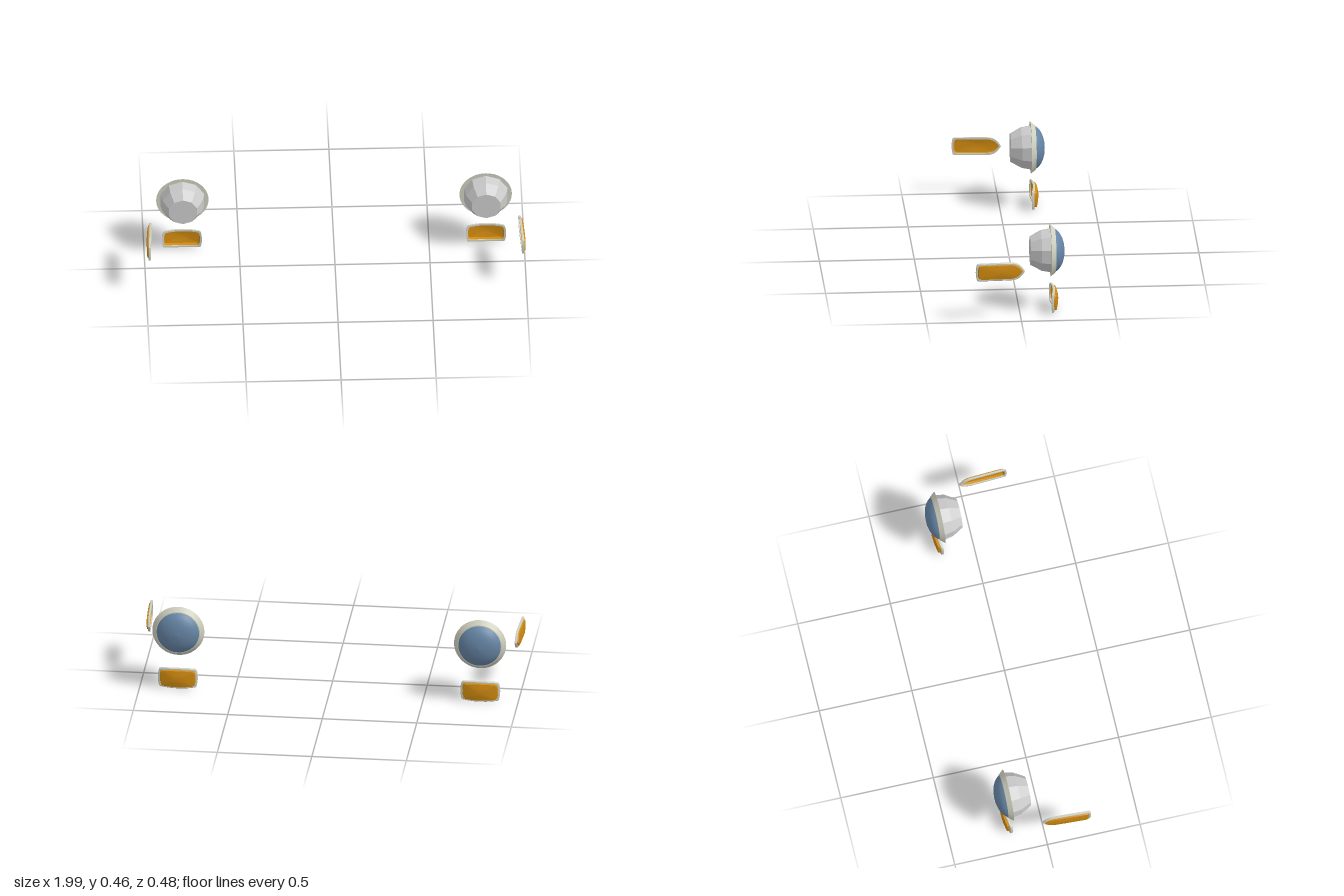
import * as THREE from 'three';
import { toCreasedNormals } from 'three/addons/utils/BufferGeometryUtils.js';

const material = (color, extra = {}) => new THREE.MeshStandardMaterial({ color, ...extra });
const grey = material(0xcccccc, { flatShading: true });
const cream = material(0xcfcfbf, { side: THREE.DoubleSide });
const amber = material(0xd08a10, { side: THREE.DoubleSide });
const blue = material(0x6685a5, { side: THREE.DoubleSide });

function mesh(name, geometry, mat) {
  const m = new THREE.Mesh(geometry, mat);
  m.name = name;
  return m;
}

// Skin through scaled copies of an outline; sections are [scaleX, scaleY, z]
function loft(outline, sections, bow, crease) {
  const pos = [];
  const point = (i, [sx, sy, z]) => {
    const [x, y] = outline[i % outline.length];
    return [x * sx, y * sy, z + bow(x * sx)];
  };
  for (let k = 0; k < sections.length - 1; k++) {
    const low = sections[k], high = sections[k + 1];
    for (let i = 0; i < outline.length; i++) {
      const a = point(i, low), b = point(i + 1, low);
      const c = point(i + 1, high), d = point(i, high);
      pos.push(...a, ...b, ...c);
      if (high[0] > 0) pos.push(...a, ...c, ...d);
    }
  }
  const g = new THREE.BufferGeometry();
  g.setAttribute('position', new THREE.Float32BufferAttribute(pos, 3));
  return toCreasedNormals(g, crease);
}

// Framed lens lying in xy and facing +z
function framedLamp(name, outline, halfX, halfY, lensHeight, bow) {
  const lamp = new THREE.Group();
  lamp.name = name;
  const inset = (d, z) => [1 - d / halfX, 1 - d / halfY, z];
  const frame = [inset(0, 0), inset(0, 0.009), inset(0.003, 0.012),
    inset(0.010, 0.012), inset(0.010, 0), inset(0, 0)];
  const [sx, sy] = inset(0.010, 0);
  const lens = [[1, 0.006], [0.96, lensHeight * 0.75], [0.5, lensHeight * 0.9], [0, lensHeight]]
    .map(([s, z]) => [sx * s, sy * s, z]);
  lamp.add(
    mesh('lampFrame', loft(outline, frame, bow, 0.6), cream),
    mesh('amberLens', loft(outline, lens, bow, 0.5), amber)
  );
  return lamp;
}

// Complete an upper half outline (running from +x to -x) below the x axis
const mirrorY = half => [...half, ...half.slice(1, -1).reverse().map(([x, y]) => [x, -y])];

// Round body turned about z, growing toward -z
function turned(name, profile, sides, mat, crease) {
  const g = new THREE.LatheGeometry(profile.map(p => new THREE.Vector2(...p)), sides);
  g.rotateX(-Math.PI / 2);
  return mesh(name, crease ? toCreasedNormals(g, crease) : g, mat);
}

function headlamp() {
  const lamp = new THREE.Group();
  lamp.name = 'headlamp';
  lamp.add(
    turned('bucket', [[0, 0], [0.078, 0], [0.111, 0.057], [0.121, 0.107]], 10, grey),
    turned('trimRing', [[0.112, 0.107], [0.138, 0.107], [0.129, 0.117], [0.121, 0.127],
      [0.117, 0.132], [0.110, 0.133]], 40, cream, 0.7),
    turned('glass', [[0.114, 0.130], [0.108, 0.140], [0.098, 0.151], [0.085, 0.161],
      [0.065, 0.171], [0.035, 0.179], [0, 0.182]], 40, blue)
  );
  return lamp;
}

export function createModel() {
  const model = new THREE.Group();
  model.name = 'vehicleLamps';

  // Pointed marker outline, tip at +x
  const marker = mirrorY([[0.13, 0], [0.119, 0.017], [0.106, 0.032], [0.09, 0.042],
    [0.07, 0.048], [0, 0.049], [-0.115, 0.048], [-0.124, 0.043], [-0.128, 0.025], [-0.13, 0]]);

  // Gently barrelled rectangle for the low lamps
  const quarter = [[0.105, 0], [0.104, 0.025], [0.099, 0.046], [0.092, 0.052],
    [0.065, 0.055], [0.033, 0.057]];
  const barrel = mirrorY([...quarter, [0, 0.0575],
    ...quarter.slice().reverse().map(([x, y]) => [-x, y])]);

  for (const side of [1, -1]) {
    const head = headlamp();
    head.position.set(side * 0.798, 0.321, -0.058);

    // Low lamp, bowed outward at its middle
    const low = framedLamp('lowLamp', barrel, 0.105, 0.0575, 0.03,
      x => 0.012 * (1 - (x / 0.105) ** 2));
    low.position.set(side * 0.8, 0.0575, -0.165);
    low.rotation.y = Math.PI;

    // Side marker, slightly toed in toward the tip
    const flank = framedLamp('sideMarker', marker, 0.13, 0.049, 0.024, () => 0);
    flank.position.set(side * 0.971, 0.271, 0.11);
    flank.rotation.set(0, side * (Math.PI / 2 + 0.05), side > 0 ? 0 : Math.PI);

    model.add(head, low, flank);
  }
  return model;
}
